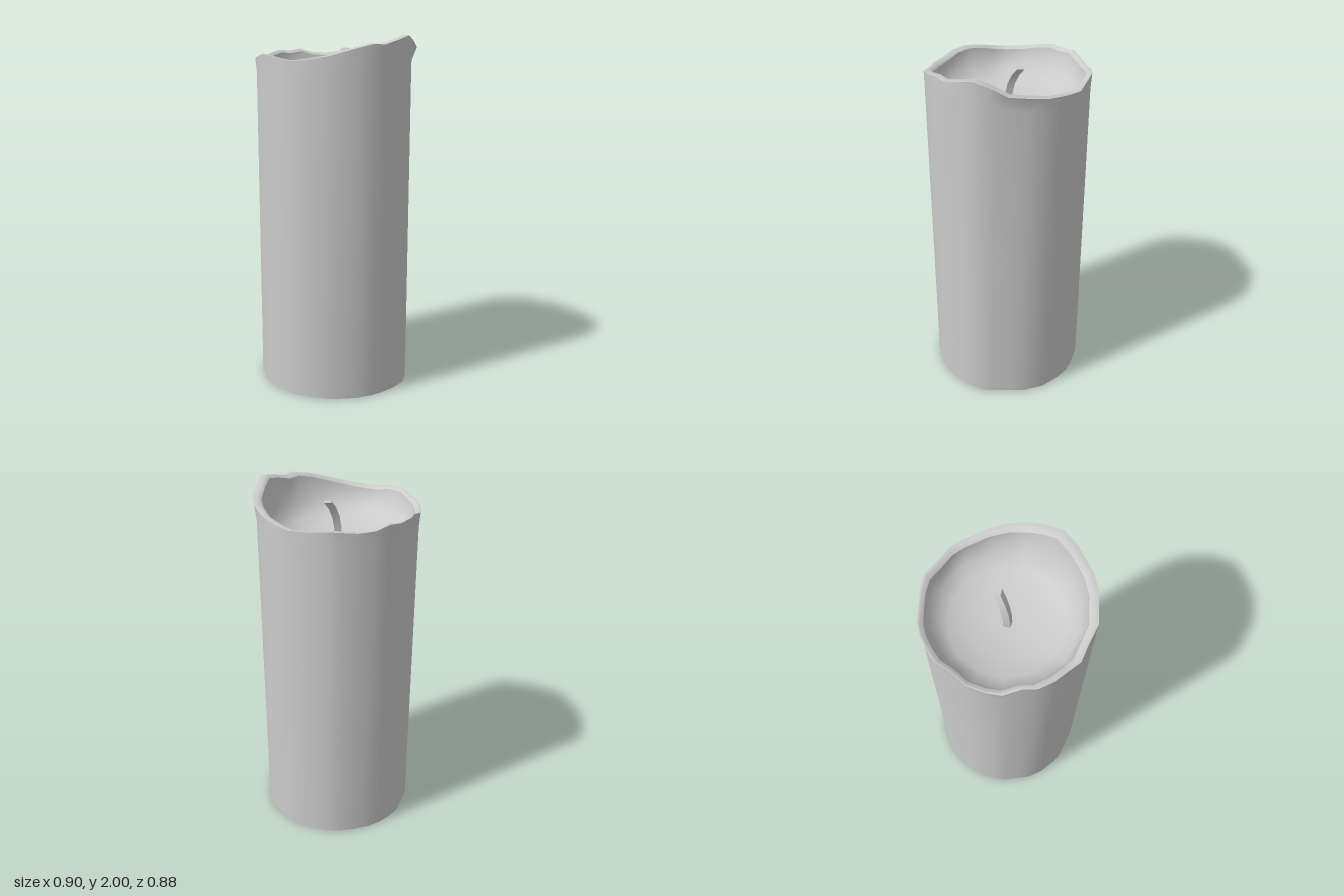
import * as THREE from 'three';
import { toCreasedNormals } from 'three/addons/utils/BufferGeometryUtils.js';

// Skin over a list of closed rings (each a list of [x, y, z])
function loft(rings) {
  const n = rings[0].length, index = [];
  for (let i = 0; i < rings.length - 1; i++) {
    for (let j = 0; j < n; j++) {
      const k = (j + 1) % n, a = i * n + j, b = i * n + k;
      index.push(a, a + n, b, b, a + n, b + n);
    }
  }
  const g = new THREE.BufferGeometry();
  g.setAttribute('position', new THREE.Float32BufferAttribute(rings.flat(2), 3));
  g.setIndex(index);
  g.computeVertexNormals();
  return g;
}

export function createModel() {
  const group = new THREE.Group();
  const material = new THREE.MeshStandardMaterial({ color: 0xcccccc, side: THREE.DoubleSide });
  const add = (name, geometry) => {
    const mesh = new THREE.Mesh(geometry, material);
    mesh.name = name;
    group.add(mesh);
  };

  // Uneven melted rim: x, height, z
  const rim = [
    [0.45, 1.93, 0], [0.43, 1.97, 0.09], [0.41, 1.995, 0.17], [0.36, 1.975, 0.25],
    [0.29, 1.95, 0.32], [0.24, 1.955, 0.36], [0.155, 1.935, 0.405], [0.01, 1.895, 0.44],
    [-0.1, 1.877, 0.415], [-0.19, 1.867, 0.4], [-0.25, 1.875, 0.355], [-0.32, 1.89, 0.305],
    [-0.38, 1.895, 0.235], [-0.4, 1.89, 0.16], [-0.445, 1.87, 0.08], [-0.45, 1.865, 0],
    [-0.44, 1.87, -0.1], [-0.4, 1.89, -0.18], [-0.375, 1.9, -0.265], [-0.32, 1.895, -0.325],
    [-0.26, 1.905, -0.375], [-0.19, 1.885, -0.41], [-0.1, 1.88, -0.43], [-0.02, 1.89, -0.445],
    [0.06, 1.895, -0.445], [0.15, 1.88, -0.405], [0.245, 1.875, -0.37], [0.3, 1.88, -0.315],
    [0.34, 1.885, -0.26], [0.385, 1.895, -0.205], [0.43, 1.915, -0.1],
  ];

  // Wall outline: close to the rim, but without its overhang on one side
  const wall = (y) => rim.map(([x, h, z]) => {
    const r = Math.hypot(x, z), s = (0.5 * r + 0.5 * 0.438) / r;
    return [Math.min(x * s, 0.42), y(h), z * s];
  });
  add('waxBody', loft([wall(() => 0), wall((h) => h * 0.5), wall((h) => h - 0.08), rim]));
  add('base', loft([rim.map(() => [0, 0, 0]), wall(() => 0)]));

  // Inside outlines: blend of the rim outline and a circle
  const inner = (radius, blend, y) => rim.map(([x, h, z]) => {
    const r = Math.hypot(x, z), s = (blend * (r - 0.44) + radius) / r;
    return [x * s - 0.012, y(h), z * s - 0.008];
  });
  const lip = inner(0.402, 0.7, (h) => h - 0.012);
  add('rimLip', loft([rim, inner(0.42, 0.9, (h) => h + 0.003), lip]));

  // Hollow with the melted pool
  add('meltPool', loft([
    lip,
    inner(0.395, 0.6, (h) => h - 0.05),
    inner(0.365, 0.5, (h) => 1.78 + (h - 1.9) * 0.4),
    inner(0.3, 0.3, () => 1.73),
    inner(0.19, 0, () => 1.70),
    inner(0.08, 0, () => 1.69),
    inner(0, 0, () => 1.69),
  ]));

  // Bent square wick
  const square = ([x, y, z], w = 0.019) =>
    [[1, 1], [-1, 1], [-1, -1], [1, -1]].map(([a, b]) => [x + a * w, y, z + b * w]);
  const path = [
    [-0.01, 1.67, -0.005], [-0.009, 1.75, -0.008], [0.002, 1.82, -0.02],
    [0.022, 1.88, -0.043], [0.046, 1.922, -0.071],
  ];
  const tip = path[path.length - 1];
  add('wick', toCreasedNormals(loft([...path.map((p) => square(p)), square(tip, 0)]), 0.7));

  return group;
}
